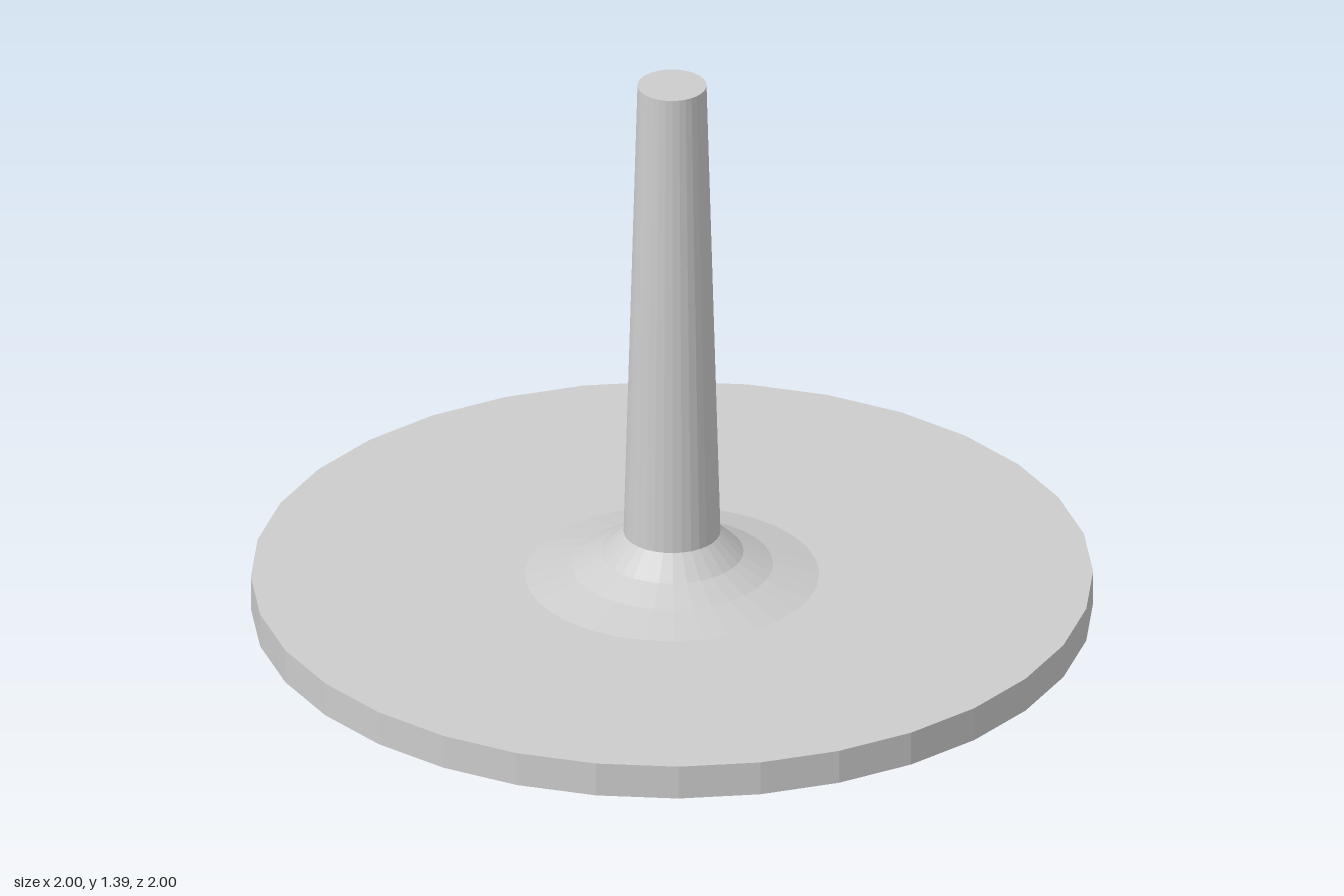
import * as THREE from 'three';

export function createModel() {
  const group = new THREE.Group();
  const grey = new THREE.MeshStandardMaterial({ color: 0xcccccc, flatShading: true });
  grey.name = 'light grey';
  const sides = 32;

  const add = (name, geometry, y = 0) => {
    const mesh = new THREE.Mesh(geometry, grey);
    mesh.name = name;
    mesh.position.y = y;
    group.add(mesh);
  };

  const baseTop = 0.085, stemBottom = 0.2, stemTop = 1.39;

  // Flat round base
  add('base', new THREE.CylinderGeometry(1, 1, baseTop, sides), baseTop / 2);

  // Concave flare joining the base to the stem
  const profile = [[0.35, baseTop], [0.24, 0.113], [0.17, 0.147], [0.115, stemBottom]];
  add('flare', new THREE.LatheGeometry(profile.map(([r, y]) => new THREE.Vector2(r, y)), sides));

  // Tapered stem with a flat top
  add('stem', new THREE.CylinderGeometry(0.082, 0.115, stemTop - stemBottom, sides), (stemTop + stemBottom) / 2);

  return group;
}
